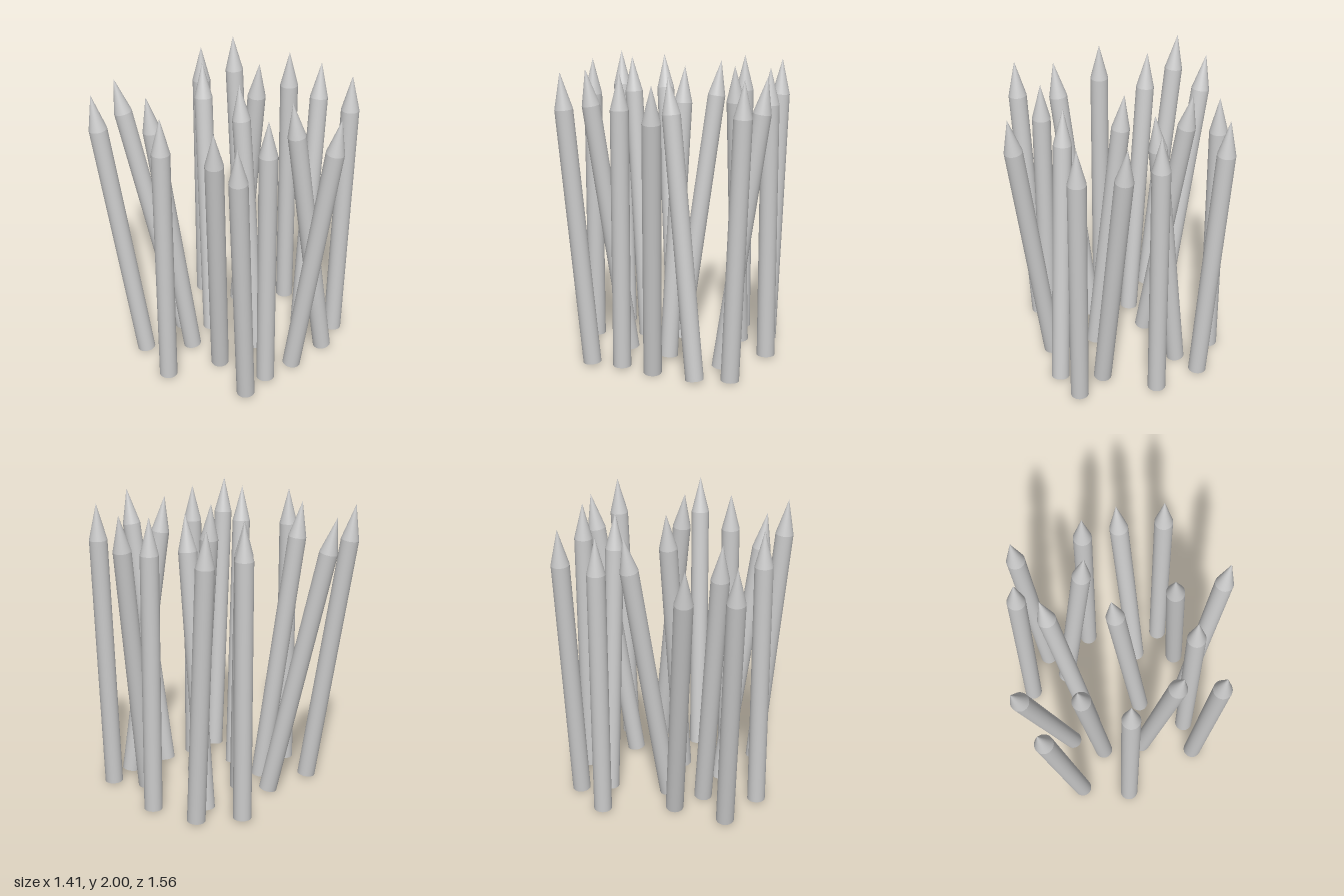
import * as THREE from 'three';

const RADIUS = 0.061, SHAFT = 1.745, POINT = 0.243, BASE_Y = 0.012, SIDES = 32;

// Each stake: base centre x, z and shoulder centre x, z
const STAKES = [
  [-0.524, -0.416, -0.644, -0.644],
  [-0.151, -0.395, -0.337, -0.723],
  [-0.284, -0.193, -0.441, -0.358],
  [-0.039, -0.222, 0.143, -0.433],
  [0.300, -0.590, 0.300, -0.590],
  [0.545, -0.408, 0.577, -0.528],
  [0.366, -0.313, 0.366, -0.151],
  [-0.640, -0.095, -0.640, -0.095],
  [0.625, -0.077, 0.625, -0.077],
  [-0.308, 0.089, -0.516, 0.238],
  [0.002, 0.159, 0.043, -0.014],
  [0.400, 0.238, 0.640, 0.168],
  [-0.449, 0.441, -0.594, 0.499],
  [-0.233, 0.437, -0.233, 0.437],
  [0.308, 0.515, 0.106, 0.397],
  [0.002, 0.480, 0.089, 0.714],
  [0.528, 0.445, 0.598, 0.457],
];

export function createModel() {
  const model = new THREE.Group();
  model.name = 'stakes';
  const material = new THREE.MeshStandardMaterial({ color: 0xcccccc });

  // Shared shapes, with the origin at the centre of the stake's foot
  const shaftGeometry = new THREE.CylinderGeometry(RADIUS, RADIUS, SHAFT, SIDES);
  shaftGeometry.translate(0, SHAFT / 2, 0);
  const pointGeometry = new THREE.ConeGeometry(RADIUS, POINT, SIDES, 1, true);
  pointGeometry.translate(0, SHAFT + POINT / 2, 0);

  const up = new THREE.Vector3(0, 1, 0);
  STAKES.forEach(([x, z, shoulderX, shoulderZ], i) => {
    const stake = new THREE.Group();
    stake.name = `stake${i + 1}`;

    const shaft = new THREE.Mesh(shaftGeometry, material);
    shaft.name = 'shaft';
    const point = new THREE.Mesh(pointGeometry, material);
    point.name = 'point';
    stake.add(shaft, point);

    // Lean the stake from its foot towards its shoulder
    const dx = shoulderX - x, dz = shoulderZ - z;
    const rise = Math.sqrt(SHAFT * SHAFT - dx * dx - dz * dz);
    const direction = new THREE.Vector3(dx, rise, dz).normalize();
    stake.quaternion.setFromUnitVectors(up, direction);
    stake.position.set(x, BASE_Y, z);
    model.add(stake);
  });

  return model;
}
